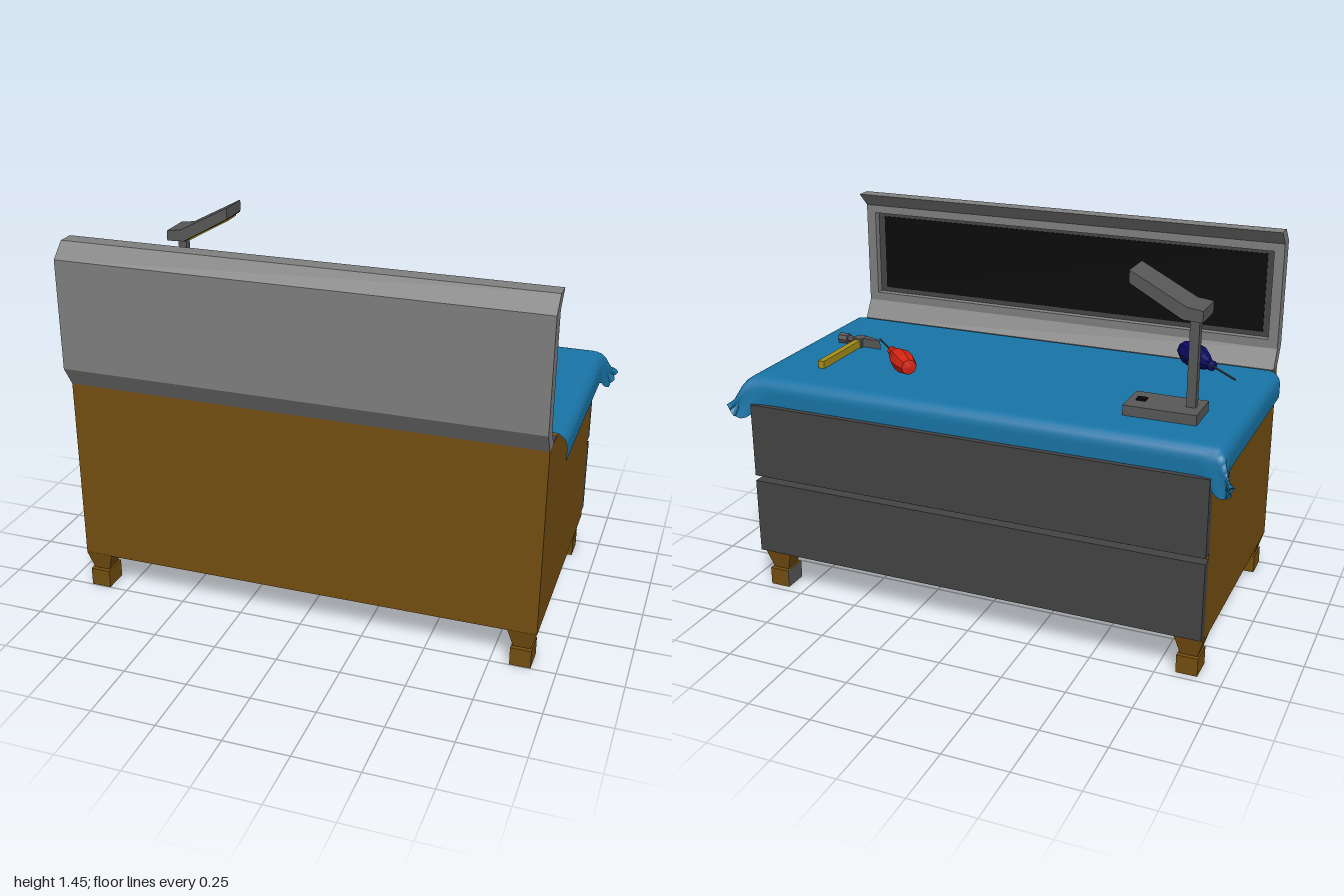
import * as THREE from 'three';

const mat = (color, flat = true, side = THREE.FrontSide) =>
  new THREE.MeshStandardMaterial({ color, flatShading: flat, side });
const WOOD = mat(0x744f10), GREY = mat(0x808080), DARK = mat(0x444444), STEEL = mat(0x585858);
const BLACK = mat(0x0a0a0a), YELLOW = mat(0xa8901a), RED = mat(0xd42412), NAVY = mat(0x0b0b66);
const CLOTH = mat(0x1874a6, false, THREE.DoubleSide);

function add(parent, name, geometry, material) {
  const mesh = new THREE.Mesh(geometry, material);
  mesh.name = name;
  parent.add(mesh);
  return mesh;
}

// Box given by its min and max on each axis
function box(parent, name, material, x0, x1, y0, y1, z0, z1) {
  const mesh = add(parent, name, new THREE.BoxGeometry(x1 - x0, y1 - y0, z1 - z0), material);
  mesh.position.set((x0 + x1) / 2, (y0 + y1) / 2, (z0 + z1) / 2);
  return mesh;
}

const outline = pts => new THREE.Shape(pts.map(p => new THREE.Vector2(...p)));
const extrude = (shape, depth) => new THREE.ExtrudeGeometry(shape, { depth, bevelEnabled: false });

// Extrudes a [z, y] profile along the width
function widthPrism(parent, name, pts, material) {
  const g = extrude(outline(pts.map(([z, y]) => [-z, y])), 1.84);
  g.rotateY(Math.PI / 2).translate(-0.92, 0, 0);
  return add(parent, name, g, material);
}

// Block foot with a tapered neck
function makeLeg(sx, sz) {
  const leg = new THREE.Group();
  leg.name = 'leg';
  box(leg, 'foot', WOOD, -0.04, 0.04, 0, 0.073, -0.05, 0.05);
  const neck = new THREE.BoxGeometry(0.11, 0.075, 0.096);
  const p = neck.attributes.position;
  for (let i = 0; i < p.count; i++) {
    if (p.getY(i) < 0) p.setXYZ(i, p.getX(i) * 0.6, p.getY(i), p.getZ(i) * 0.68);
  }
  neck.translate(0, 0.1095, 0);
  add(leg, 'legNeck', neck, WOOD);
  if (sz < 0) box(leg, 'footPlate', STEEL, -sx * 0.041 - 0.001, -sx * 0.041 + 0.001, 0, 0.073, -0.05, 0.05);
  leg.position.set(sx * 0.865, 0, sz < 0 ? -0.42 : 0.448);
  return leg;
}

// Draped sheet: flat top, rolled edges on three sides, flared corners
function clothGeometry() {
  const R = 0.05, L = 0.134, flatX = 0.91, back = 0.435, front = 0.38;
  const out = a => R * Math.sin(Math.min(a / R, Math.PI / 2));
  const drop = a => R * (1 - Math.cos(Math.min(a / R, Math.PI / 2))) + Math.max(0, a - R * Math.PI / 2);
  const g = new THREE.PlaneGeometry(2 * (flatX + L), front + back + L, 110, 56);
  g.rotateX(-Math.PI / 2).translate(0, 0, (front - back - L) / 2);
  const p = g.attributes.position;
  for (let i = 0; i < p.count; i++) {
    const s = p.getX(i), t = p.getZ(i), side = Math.sign(s);
    const a = Math.max(0, Math.abs(s) - flatX), b = Math.max(0, -t - back);
    const near = d => THREE.MathUtils.smoothstep(d, -0.06, L);
    const f = near(Math.abs(s) - flatX) * near(-t - back);
    const edge = Math.max(a, b) / L;
    const ruffle = 0.012 * Math.sin((a - b) * 75) * f * edge;
    const x = Math.min(Math.abs(s), flatX) + out(a) + 0.042 * f * edge + ruffle;
    const z = Math.max(t, -back) - out(b) - 0.055 * f * edge + ruffle;
    const y = 0.906 - Math.max(drop(a), drop(b)) - 0.24 * f * (1 - f) * edge * edge;
    p.setXYZ(i, side * x, y, z);
  }
  g.computeVertexNormals();
  return g;
}

// Screwdriver lying from its butt end towards its tip, in [x, z]
function makeScrewdriver(name, material, butt, tip, y, scale) {
  const driver = new THREE.Group();
  driver.name = name;
  const length = Math.hypot(tip[0] - butt[0], tip[1] - butt[1]);
  const profile = [[0, 0], [0.032, 0.005], [0.045, 0.05], [0.046, 0.11], [0.03, 0.17], [0.018, 0.2], [0.02, 0.225], [0, 0.23]];
  const handle = new THREE.LatheGeometry(profile.map(([r, h]) => new THREE.Vector2(r * scale, h)), 8);
  add(driver, 'screwdriverHandle', handle, material);
  const shaft = add(driver, 'screwdriverShaft', new THREE.CylinderGeometry(0.004, 0.004, length - 0.22, 6), DARK);
  shaft.position.y = (length + 0.22) / 2;
  driver.position.set(butt[0], y, butt[1]);
  driver.quaternion.setFromUnitVectors(new THREE.Vector3(0, 1, 0),
    new THREE.Vector3((tip[0] - butt[0]) / length, 0, (tip[1] - butt[1]) / length));
  return driver;
}

function makeLamp() {
  const lamp = new THREE.Group();
  lamp.name = 'deskLamp';
  box(lamp, 'lampBase', STEEL, -0.81, -0.535, 0.905, 0.945, -0.305, -0.145);
  box(lamp, 'lampSwitch', BLACK, -0.6, -0.565, 0.945, 0.952, -0.24, -0.21);
  box(lamp, 'lampPole', STEEL, -0.785, -0.75, 0.94, 1.3, -0.235, -0.202);
  const head = [[-0.81, 1.28], [-0.74, 1.283], [-0.54, 1.395], [-0.54, 1.44], [-0.75, 1.33], [-0.81, 1.322]];
  add(lamp, 'lampHead', extrude(outline(head), 0.14), STEEL).position.z = -0.29;
  // Lit underside with three tubes
  const under = new THREE.Group();
  under.name = 'lampUnderside';
  box(under, 'lampPanel', BLACK, -0.112, 0.112, -0.004, 0.002, -0.068, 0.068);
  for (const z of [-0.035, 0, 0.035]) box(under, 'lampTube', YELLOW, -0.1, 0.1, -0.01, -0.003, z - 0.009, z + 0.009);
  under.position.set(-0.64, 1.339, -0.22);
  under.rotation.z = Math.atan2(0.112, 0.2);
  lamp.add(under);
  return lamp;
}

function makeHammer() {
  const hammer = new THREE.Group();
  hammer.name = 'hammer';
  box(hammer, 'hammerHandle', YELLOW, 0.709, 0.735, 0.908, 0.938, -0.29, 0.01);
  box(hammer, 'hammerNeck', STEEL, 0.703, 0.742, 0.906, 0.944, 0.0, 0.05);
  // Curved claw, tapering to a tip
  const claw = new THREE.Shape();
  claw.moveTo(0.745, 0.05);
  claw.quadraticCurveTo(0.67, 0.052, 0.62, 0.01);
  claw.quadraticCurveTo(0.68, 0.018, 0.745, 0.01);
  const g = extrude(claw, 0.036).rotateX(Math.PI / 2).translate(0, 0.943, 0);
  add(hammer, 'hammerClaw', g, STEEL);
  const rod = (name, r, len, x) => {
    const m = add(hammer, name, new THREE.CylinderGeometry(r, r, len, 8), STEEL);
    m.rotation.z = Math.PI / 2;
    m.position.set(x, 0.927, 0.034);
  };
  rod('hammerShank', 0.014, 0.06, 0.765);
  rod('hammerFace', 0.023, 0.04, 0.8);
  return hammer;
}

export function createModel() {
  const model = new THREE.Group();
  model.name = 'workbench';

  // Cabinet, drawers and legs
  box(model, 'cabinet', WOOD, -0.92, 0.92, 0.145, 0.885, -0.462, 0.495);
  box(model, 'lowerDrawer', DARK, -0.92, 0.92, 0.17, 0.477, -0.505, -0.46);
  box(model, 'upperDrawer', DARK, -0.92, 0.92, 0.5, 0.8, -0.505, -0.46);
  for (const sx of [-1, 1]) for (const sz of [-1, 1]) model.add(makeLeg(sx, sz));

  // Upright panel: slanted foot, framed board, slanted lip
  const panel = new THREE.Group();
  panel.name = 'uprightPanel';
  box(panel, 'panelSill', DARK, -0.92, 0.92, 0.88, 0.89, 0.37, 0.46);
  widthPrism(panel, 'panelFoot', [[0.495, 0.885], [0.545, 0.965], [0.478, 0.965], [0.43, 0.885]], GREY);
  widthPrism(panel, 'panelLip', [[0.545, 1.393], [0.485, 1.45], [0.418, 1.45], [0.478, 1.393]], GREY);
  const frame = outline([[-0.92, 0.965], [0.92, 0.965], [0.92, 1.393], [-0.92, 1.393]]);
  frame.holes.push(new THREE.Path([[-0.88, 1.0], [-0.88, 1.36], [0.88, 1.36], [0.88, 1.0]].map(p => new THREE.Vector2(...p))));
  add(panel, 'panelFrame', extrude(frame, 0.045), GREY).position.z = 0.478;
  box(panel, 'panelBack', GREY, -0.92, 0.92, 0.965, 1.393, 0.523, 0.545);
  box(panel, 'panelInset', DARK, -0.88, 0.88, 1.0, 1.36, 0.51, 0.524);
  box(panel, 'panelBoard', BLACK, -0.85, 0.85, 1.02, 1.34, 0.506, 0.512);
  model.add(panel);

  // Cloth and the things lying on it
  add(model, 'cloth', clothGeometry(), CLOTH);
  model.add(makeLamp(), makeHammer());
  model.add(makeScrewdriver('redScrewdriver', RED, [0.345, -0.26], [0.62, 0.01], 0.952, 0.95));
  model.add(makeScrewdriver('blueScrewdriver', NAVY, [-0.57, 0.36], [-0.85, 0.08], 0.957, 1.08));
  return model;
}
